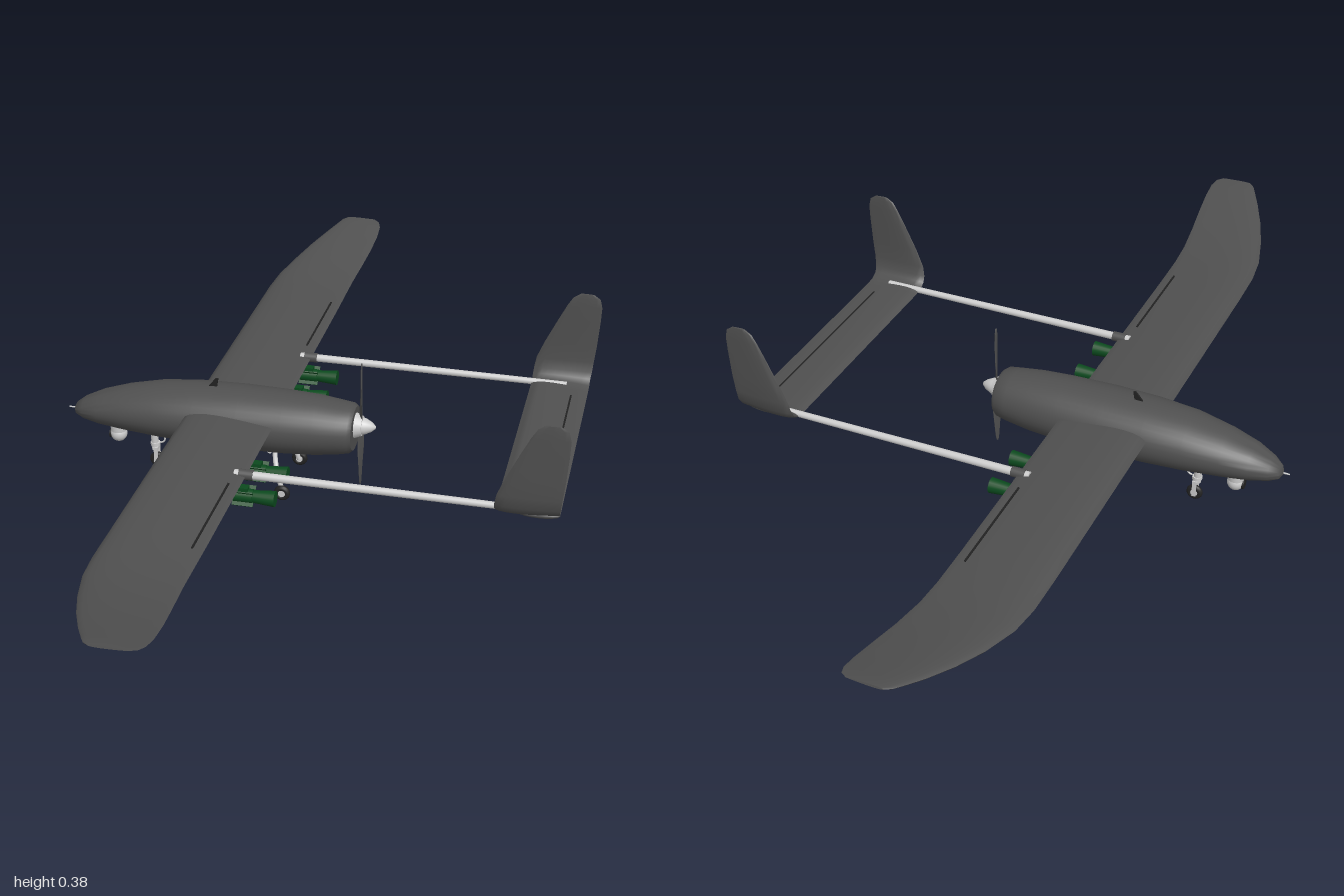
import * as THREE from 'three';
import { toCreasedNormals } from 'three/addons/utils/BufferGeometryUtils.js';

const mat = (color) => new THREE.MeshStandardMaterial({ color, side: THREE.DoubleSide });

// Skin a closed surface over rings of equal point count, facing outward
function loft(rings) {
  const n = rings[0].length, pos = [], tris = [];
  rings.forEach((r) => r.forEach((p) => pos.push(p.x, p.y, p.z)));
  for (let i = 0; i < rings.length - 1; i++) {
    for (let k = 0; k < n; k++) {
      const a = i * n + k, b = i * n + (k + 1) % n;
      tris.push([a, b, a + n], [b, b + n, a + n]);
    }
  }
  [0, rings.length - 1].forEach((i, end) => {
    const c = new THREE.Vector3();
    rings[i].forEach((p) => c.addScaledVector(p, 1 / n));
    const ci = pos.push(c.x, c.y, c.z) / 3 - 1;
    for (let k = 0; k < n; k++) {
      const a = i * n + k, b = i * n + (k + 1) % n;
      tris.push(end ? [a, b, ci] : [b, a, ci]);
    }
  });
  const at = (i) => new THREE.Vector3().fromArray(pos, i * 3);
  const volume = tris.reduce((s, [a, b, c]) => s + at(a).dot(at(b).cross(at(c))), 0);
  const g = new THREE.BufferGeometry();
  g.setAttribute('position', new THREE.Float32BufferAttribute(pos, 3));
  g.setIndex(tris.flatMap((t) => (volume < 0 ? [t[0], t[2], t[1]] : t)));
  return toCreasedNormals(g, 0.8);
}

// Aerofoil surface through half-span stations [z, y, leadingX, trailingX, thickness], mirrored across z
function aerofoil(half) {
  const st = [...half.slice(1).reverse().map(([z, ...r]) => [-z, ...r]), ...half];
  return loft(st.map(([z, y, x0, x1, th], i) => {
    const p = st[Math.max(0, i - 1)], q = st[Math.min(st.length - 1, i + 1)];
    const dz = q[0] - p[0], dy = q[1] - p[1], len = Math.hypot(dz, dy);
    return Array.from({ length: 24 }, (_, k) => {
      const t = k / 24 * Math.PI * 2, u = (1 - Math.cos(t)) / 2;
      const off = Math.sin(t) * th * 0.8 * (1 - 0.75 * u);
      return new THREE.Vector3(x0 + (x1 - x0) * u, y + off * dz / len, z - off * dy / len);
    });
  }));
}

export function createModel() {
  const root = new THREE.Group();
  const dark = mat(0x505050), grey = mat(0xcccccc), black = mat(0x222222);
  const green = mat(0x0b4a1e), yellow = mat(0xd8d020);

  const add = (name, geo, m, x = 0, y = 0, z = 0, parent = root) => {
    const mesh = new THREE.Mesh(geo, m);
    mesh.name = name;
    mesh.position.set(x, y, z);
    parent.add(mesh);
    return mesh;
  };
  // Cylinder along x, r0 at the nose end and r1 at the tail end
  const rod = (r0, r1, len, seg = 20) => new THREE.CylinderGeometry(r0, r1, len, seg).rotateZ(Math.PI / 2);

  // Fuselage: stations [x, bottom, top, halfWidth]
  const body = [
    [-0.566, 0.124, 0.13, 0.004], [-0.56, 0.114, 0.142, 0.018], [-0.54, 0.107, 0.157, 0.033],
    [-0.5, 0.101, 0.176, 0.05], [-0.44, 0.096, 0.195, 0.064], [-0.36, 0.091, 0.212, 0.077],
    [-0.27, 0.087, 0.22, 0.083], [-0.17, 0.084, 0.223, 0.083], [-0.07, 0.085, 0.222, 0.079],
    [0, 0.089, 0.219, 0.073], [0.05, 0.096, 0.213, 0.066], [0.075, 0.101, 0.21, 0.061],
    [0.083, 0.108, 0.204, 0.054],
  ];
  add('fuselage', loft(body.map(([x, b, t, w]) => Array.from({ length: 36 }, (_, k) => {
    const a = k / 36 * Math.PI * 2;
    return new THREE.Vector3(x, (b + t) / 2 + Math.cos(a) * (t - b) / 2, Math.sin(a) * w);
  }))), dark);
  add('nosePitot', rod(0.0015, 0.0025, 0.02, 8), grey, -0.57, 0.127, 0);

  // Main wing with raised, swept tips
  add('wing', aerofoil([
    [0, 0.173, -0.285, -0.085, 0.026], [0.3, 0.173, -0.285, -0.085, 0.026],
    [0.55, 0.173, -0.285, -0.085, 0.024], [0.65, 0.175, -0.284, -0.085, 0.022],
    [0.72, 0.18, -0.277, -0.083, 0.02], [0.8, 0.191, -0.256, -0.076, 0.018],
    [0.87, 0.205, -0.231, -0.069, 0.015], [0.93, 0.219, -0.204, -0.065, 0.012],
    [0.97, 0.23, -0.183, -0.066, 0.01], [0.99, 0.236, -0.172, -0.073, 0.007],
    [1, 0.239, -0.16, -0.087, 0.004],
  ]), dark);

  // Tail: stabiliser curving up into both fins
  add('tail', aerofoil([
    [0, 0.17, 0.43, 0.56, 0.013], [0.26, 0.17, 0.43, 0.56, 0.013], [0.288, 0.173, 0.43, 0.56, 0.012],
    [0.303, 0.182, 0.43, 0.56, 0.011], [0.311, 0.196, 0.431, 0.562, 0.01],
    [0.314, 0.22, 0.435, 0.564, 0.009], [0.315, 0.26, 0.451, 0.568, 0.009],
    [0.315, 0.32, 0.479, 0.572, 0.008], [0.315, 0.355, 0.496, 0.573, 0.007],
    [0.315, 0.375, 0.508, 0.568, 0.006], [0.315, 0.385, 0.523, 0.553, 0.004],
  ]), dark);
  add('elevatorGap', new THREE.BoxGeometry(0.004, 0.002, 0.46), black, 0.525, 0.1735, 0);

  // Pusher propeller and spinner
  add('engineHub', rod(0.03, 0.022, 0.02), grey, 0.089, 0.163, 0);
  add('spinner', new THREE.LatheGeometry([[0.02, 0], [0.018, 0.012], [0.011, 0.026], [0.004, 0.034], [0, 0.036]]
    .map((p) => new THREE.Vector2(...p)), 24).rotateZ(-Math.PI / 2), grey, 0.093, 0.163, 0);
  const blade = loft([[0.005, 0.006, 1], [0.03, 0.011, 0.8], [0.06, 0.014, 0.5], [0.1, 0.011, 0.3],
    [0.135, 0.007, 0.2], [0.147, 0.003, 0.15]].map(([y, w, twist]) => Array.from({ length: 14 }, (_, k) => {
    const a = k / 14 * Math.PI * 2;
    return new THREE.Vector3(Math.cos(a) * 0.002, y, Math.sin(a) * w).applyAxisAngle(new THREE.Vector3(0, 1, 0), twist * 0.6);
  })));
  for (const turn of [0, Math.PI]) {
    add('propellerBlade', blade, dark, 0.095, 0.166, 0).rotation.x = turn;
  }

  // Store: body, rings, nose and rear fins
  const makeMissile = (z) => {
    const g = new THREE.Group();
    g.name = 'missile';
    g.position.set(0, 0.126, z);
    root.add(g);
    add('missileBody', rod(0.015, 0.015, 0.155), green, -0.147, 0, 0, g);
    add('missileTail', rod(0.013, 0.017, 0.05), green, -0.048, 0, 0, g);
    const nose = new THREE.SphereGeometry(0.0145, 20, 12).scale(2, 1, 1);
    add('missileNose', nose, green, -0.226, 0, 0, g);
    for (const x of [-0.238, -0.222]) add('missileBand', rod(0.0153, 0.0157, 0.004), yellow, x, 0, 0, g);
    for (let i = 0; i < 4; i++) {
      const a = Math.PI / 4 + i * Math.PI / 2;
      add('missileFin', new THREE.BoxGeometry(0.045, 0.012, 0.002), green, -0.09,
        Math.cos(a) * 0.017, Math.sin(a) * 0.017, g).rotation.x = a;
    }
    add('launchRail', new THREE.BoxGeometry(0.13, 0.01, 0.018), green, -0.145, 0.016, 0, g);
    add('pylon', new THREE.BoxGeometry(0.09, 0.026, 0.012), grey, -0.155, 0.03, 0, g);
  };

  for (const s of [1, -1]) {
    // Tail boom with end collar
    add('tailBoom', rod(0.009, 0.007, 0.62), grey, 0.2, 0.174, s * 0.28);
    add('boomCollar', rod(0.011, 0.011, 0.03), dark, -0.085, 0.174, s * 0.28);
    add('boomFairing', new THREE.SphereGeometry(1, 16, 10).scale(0.045, 0.008, 0.012), dark, 0.515, 0.167, s * 0.28);
    [0.18, 0.283].forEach((z) => makeMissile(s * z));
    // Control surface gap and hinge fairings
    add('aileronGap', new THREE.BoxGeometry(0.004, 0.002, 0.25), black, -0.108, 0.179, s * 0.455);
    for (const z of [0.36, 0.46, 0.56, 0.7]) {
      add('hingeFairing', new THREE.BoxGeometry(0.035, 0.008, 0.004), grey, -0.115, z > 0.6 ? 0.172 : 0.166, s * z);
    }
    // Main wheel
    makeWheel('mainWheel', -0.063, s * 0.08);
  }

  function makeWheel(name, x, z) {
    add(name, new THREE.TorusGeometry(0.0115, 0.0065, 12, 24), black, x, 0.018, z);
    add(name + 'Hub', new THREE.CylinderGeometry(0.009, 0.009, 0.011, 16).rotateX(Math.PI / 2), grey, x, 0.018, z);
  }

  // Bowed main gear leg running from wheel to wheel
  const halfLeg = [[-0.092, 0.089, 0.025], [-0.084, 0.076, 0.052], [-0.073, 0.05, 0.07], [-0.063, 0.018, 0.075]];
  const legPath = [...halfLeg.slice().reverse().map(([x, y, z]) => [x, y, -z]), [-0.095, 0.094, 0], ...halfLeg];
  add('mainGearLeg', new THREE.TubeGeometry(new THREE.CatmullRomCurve3(
    legPath.map((p) => new THREE.Vector3(...p))), 60, 0.0055, 10), grey);

  // Nose gear
  makeWheel('noseWheel', -0.375, 0);
  add('noseStrut', new THREE.CylinderGeometry(0.009, 0.008, 0.055, 16), grey, -0.38, 0.074, 0);
  add('noseStrutCollar', new THREE.CylinderGeometry(0.011, 0.011, 0.008, 16), grey, -0.379, 0.058, 0);
  for (const s of [1, -1]) {
    add('noseFork', new THREE.BoxGeometry(0.009, 0.038, 0.003), grey, -0.376, 0.032, s * 0.0095);
  }
  add('noseForkTop', new THREE.BoxGeometry(0.012, 0.006, 0.022), grey, -0.377, 0.049, 0);
  add('noseGearLink', new THREE.TorusGeometry(0.011, 0.002, 8, 16, Math.PI), grey, -0.367, 0.073, 0).rotation.z = -Math.PI / 2;

  // Sensor turret under the nose
  add('sensorMount', new THREE.CylinderGeometry(0.019, 0.018, 0.02, 24), grey, -0.465, 0.092, 0);
  add('sensorBall', new THREE.SphereGeometry(0.019, 24, 16), grey, -0.465, 0.074, 0);
  add('sensorLens', rod(0.011, 0.011, 0.006), black, -0.482, 0.072, 0);

  // Blade antennas above and below
  const fin = new THREE.ExtrudeGeometry(new THREE.Shape([[-0.012, 0], [0.008, 0], [0.012, 0.022], [0.006, 0.022]]
    .map((p) => new THREE.Vector2(...p))), { depth: 0.004, bevelEnabled: false }).translate(0, 0, -0.002);
  add('topAntenna', fin, black, -0.238, 0.218, 0);
  for (const x of [-0.28, -0.12]) add('bellyAntenna', fin, grey, x, 0.09, 0).rotation.set(Math.PI, 0, 0);

  return root;
}
